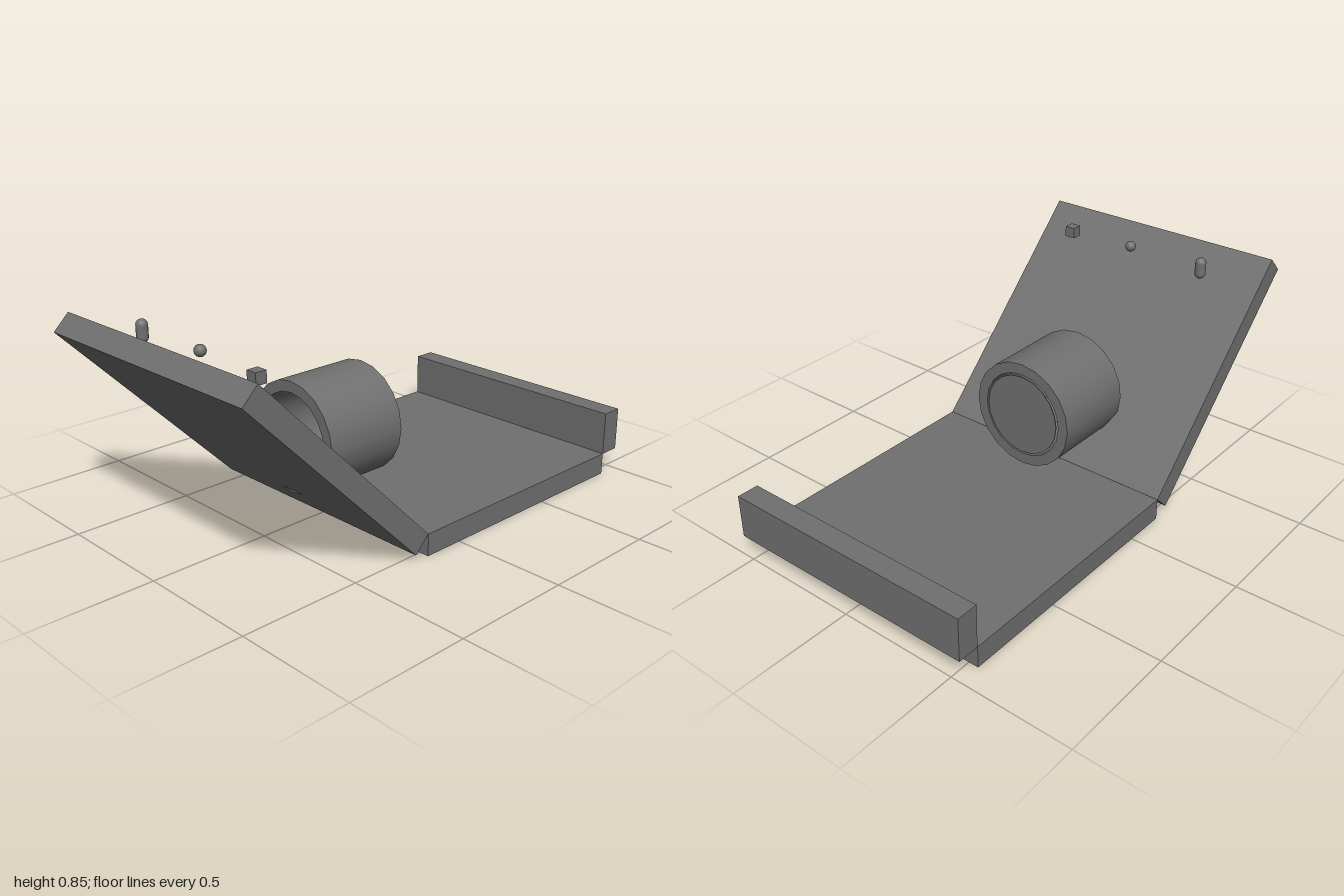
import * as THREE from 'three';

const material = new THREE.MeshStandardMaterial({ color: 0x707070 });

function add(group, name, geometry, x, y, z) {
  const mesh = new THREE.Mesh(geometry, material);
  mesh.name = name;
  mesh.position.set(x, y, z);
  group.add(mesh);
  return mesh;
}

export function createModel() {
  const group = new THREE.Group();
  const t = 0.0901; // board thickness
  const side = 12 * t;

  // Flat floor, low end wall and 45-degree ramp meeting at their edges
  add(group, 'floor', new THREE.BoxGeometry(side, t, side), 0.369, t / 2, 0);
  add(group, 'endWall', new THREE.BoxGeometry(t, 2 * t, side), 0.955, 2 * t, 0);
  const ramp = add(group, 'ramp', new THREE.BoxGeometry(side, t, side), -0.586, 0.4405, 0);
  ramp.rotation.z = -Math.PI / 4;

  // Hollow barrel lying along x, its section revolved as a closed ring
  const rIn = 2 * t, rOut = 2.5 * t, half = 2 * t;
  const edges = [
    [rIn, -half], [rOut, -half],
    [rOut, -half], [rOut, half],
    [rOut, half], [rIn, half],
    [rIn, half], [rIn, -half],
  ];
  const barrel = new THREE.Group();
  barrel.name = 'barrel';
  barrel.position.set(-0.1735, 4 * t, 0);
  barrel.rotation.z = -Math.PI / 2;
  group.add(barrel);
  const partNames = ['barrelBackRim', 'barrelOuterWall', 'barrelFrontRim', 'barrelInnerWall'];
  partNames.forEach((name, i) => {
    const pts = [edges[2 * i], edges[2 * i + 1]].map(([r, y]) => new THREE.Vector2(r, y));
    add(barrel, name, new THREE.LatheGeometry(pts, 20), 0, 0, 0);
  });

  // Thin disc closing the end that faces the wall
  add(barrel, 'barrelDisc', new THREE.CylinderGeometry(0.171, 0.171, 0.004, 20), 0, half, 0);

  // Small loose pieces above the ramp
  add(group, 'cube', new THREE.BoxGeometry(t / 2, t / 2, t / 2), -0.795, 0.798, 0.358);
  add(group, 'ball', new THREE.SphereGeometry(t / 4, 20, 14), -0.785, 0.81, 0.045);
  add(group, 'capsule', new THREE.CapsuleGeometry(t / 4, t / 2, 8, 20), -0.785, 0.804, -0.3);

  return group;
}
